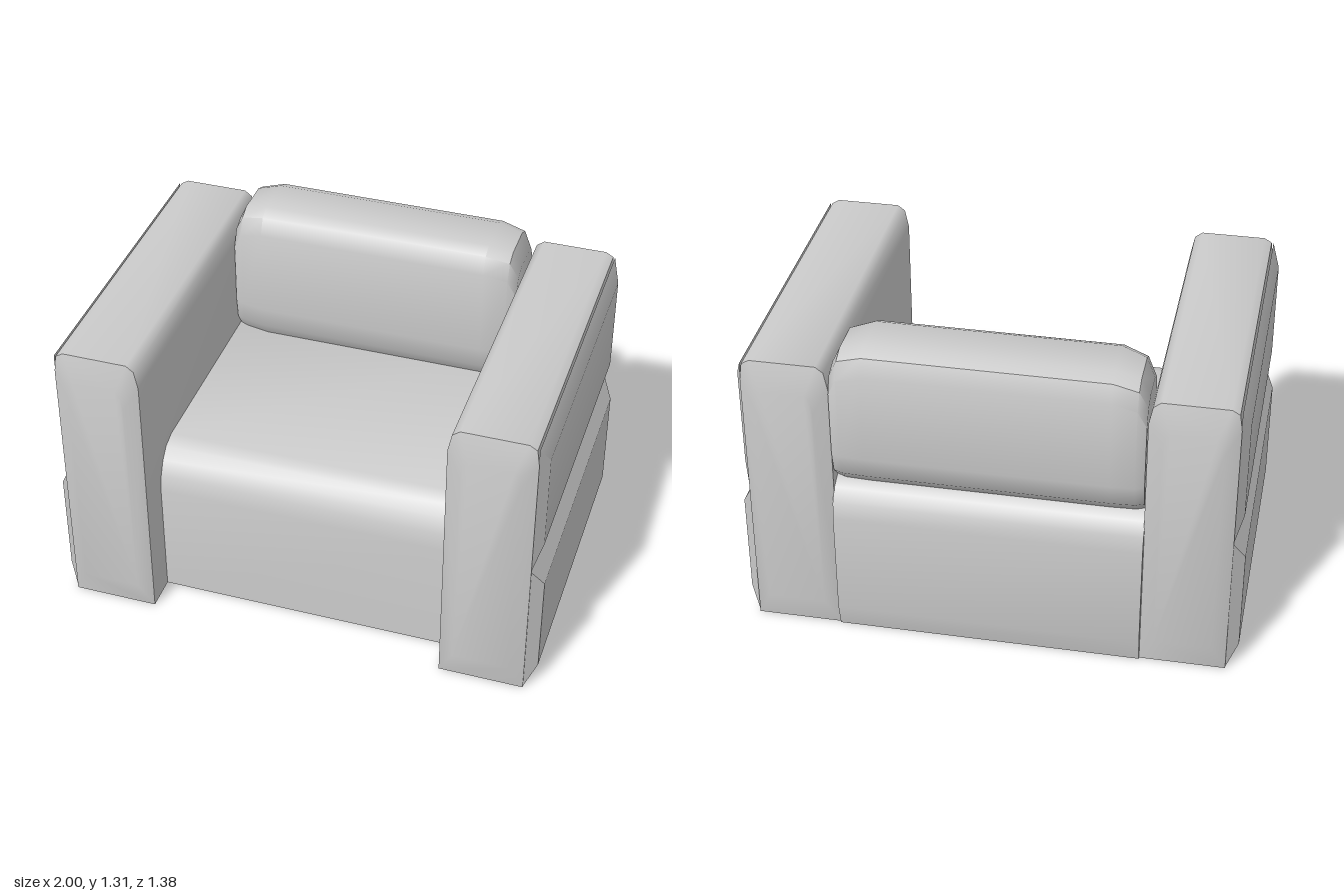
import * as THREE from 'three';
import { toCreasedNormals } from 'three/addons/utils/BufferGeometryUtils.js';

const material = new THREE.MeshStandardMaterial({ color: 0xcccccc });

// Skin a list of equal-length convex rings of [x, y, z] points and cap both ends.
function loft(name, rings, crease = 0.75) {
  const n = rings[0].length;
  const v = rings.flat().map((p) => new THREE.Vector3(...p));
  const tris = [];
  for (let r = 0; r < rings.length - 1; r++) {
    for (let i = 0; i < n; i++) {
      const a = r * n + i, b = r * n + (i + 1) % n;
      tris.push([a, b, b + n], [a, b + n, a + n]);
    }
  }
  const last = (rings.length - 1) * n;
  for (let i = 1; i < n - 1; i++) tris.push([0, i + 1, i], [last, last + i, last + i + 1]);

  // Turn every face outward, whichever way the rings run
  const centre = v.reduce((s, p) => s.add(p), new THREE.Vector3()).divideScalar(v.length);
  const rel = v.map((p) => p.clone().sub(centre));
  const volume = tris.reduce((s, [a, b, c]) => s + rel[a].dot(rel[b].clone().cross(rel[c])), 0);
  if (volume < 0) tris.forEach((t) => t.reverse());

  const geometry = new THREE.BufferGeometry().setFromPoints(v);
  geometry.setIndex(tris.flat());
  const mesh = new THREE.Mesh(toCreasedNormals(geometry, crease), material);
  mesh.name = name;
  return mesh;
}

// Raised panel on the outer side of an arm
function panel(name, side, x, [y0, y1], [iy0, iy1], iz) {
  const ring = (px, a, b, z) => [[a, z], [b, z], [b, -z], [a, -z]].map(([y, pz]) => [side * px, y, pz]);
  return loft(name, [ring(0.953, y0, y1, 0.66), ring(x, iy0, iy1, iz)], 0.4);
}

function arm(side) {
  const group = new THREE.Group();
  group.name = side > 0 ? 'leftArm' : 'rightArm';
  const outline = [[0.61, 0], [0.955, 0], [0.955, 1.13], [0.945, 1.2], [0.915, 1.218],
    [0.655, 1.218], [0.625, 1.195], [0.61, 1.12]];
  const full = (z) => outline.map(([x, y]) => [side * x, y, z]);
  const inset = (z) => outline.map(([x, y]) =>
    [side * (0.784 + (x - 0.784) * 0.67), 0.61 + (y - 0.61) * 0.81, z]);
  group.add(
    loft('armBody', [inset(-0.692), full(-0.662), full(0.662), inset(0.69)]),
    panel('lowerSidePanel', side, 1.0, [0, 0.612], [0.09, 0.522], 0.61),
    panel('upperSidePanel', side, 0.985, [0.612, 1.2], [0.71, 1.12], 0.6),
  );
  return group;
}

// Seat block: a side profile [z, y] with rounded upper edges
function seat() {
  const profile = [[-0.67, 0], [0.52, 0], [0.52, 0.5], [0.508, 0.57], [0.48, 0.63], [0.44, 0.672],
    [0.38, 0.692], [-0.6, 0.692], [-0.65, 0.665], [-0.682, 0.61], [-0.693, 0.54], [-0.693, 0.1]];
  return loft('seat', [-0.612, 0.612].map((x) => profile.map(([z, y]) => [x, y, z])));
}

// Back cushion: rings along x that shrink towards rounded ends
function backCushion() {
  const ring = (x, front, top, back) => [
    [back + 0.08, 0.69], [front - 0.05, 0.69], [front - 0.012, 0.75], [front, 0.84],
    [front, top - 0.095], [front - 0.03, top - 0.025], [front - 0.08, top],
    [back + 0.085, top], [back + 0.028, top - 0.025], [back, top - 0.095],
    [back, 0.84], [back + 0.02, 0.75],
  ].map(([z, y]) => [x, y, z]);
  const ends = [[0.607, -0.392, 1.205, -0.675], [0.572, -0.375, 1.278, -0.69], [0.475, -0.355, 1.306, -0.695]];
  const rings = [
    ...ends.map(([x, ...r]) => ring(-x, ...r)),
    ...ends.map(([x, ...r]) => ring(x, ...r)).reverse(),
  ];
  return loft('backCushion', rings);
}

export function createModel() {
  const model = new THREE.Group();
  model.name = 'armchair';
  model.add(seat(), backCushion(), arm(1), arm(-1));
  return model;
}
